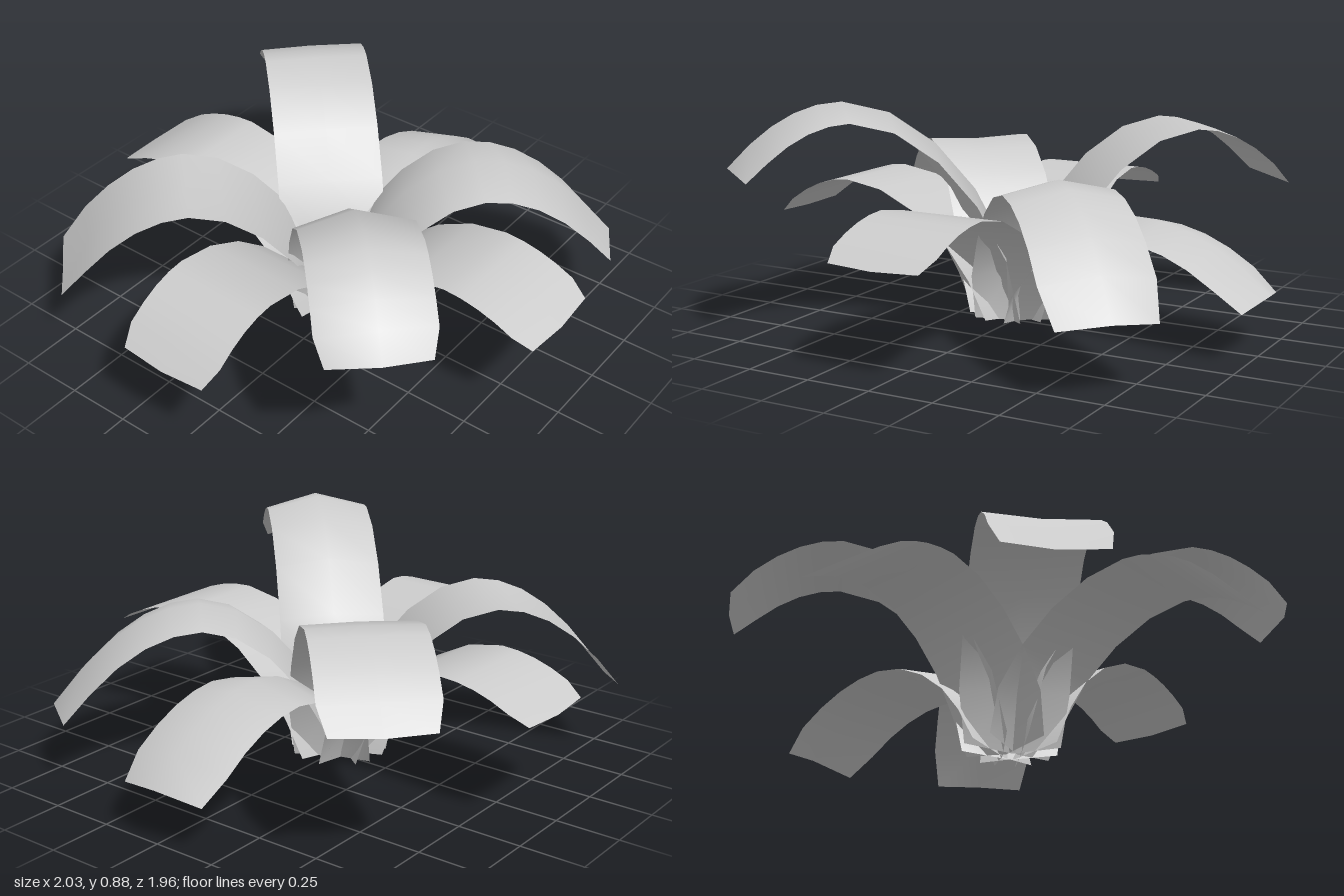
import * as THREE from 'three';

// Eight leaves in steps of 45 degrees from +x: crest and tip as [radius, height], and height of the middle ridge
const LEAVES = [
  { name: 'leftLeaf', crest: [0.5, 0.41], tip: [0.99, 0.19], ridge: 0.05 },
  { name: 'frontLeftLeaf', crest: [0.53, 0.6], tip: [1.05, 0.25], ridge: 0.045 },
  { name: 'frontLeaf', crest: [0.63, 0.525], tip: [0.99, 0.41], ridge: 0 },
  { name: 'frontRightLeaf', crest: [0.68, 0.825], tip: [1.05, 0.62], ridge: 0.055 },
  { name: 'rightLeaf', crest: [0.65, 0.53], tip: [0.99, 0.37], ridge: 0 },
  { name: 'backRightLeaf', crest: [0.57, 0.64], tip: [1.06, 0.31], ridge: -0.01 },
  { name: 'backLeaf', crest: [0.6, 0.525], tip: [0.95, 0.41], ridge: 0 },
  { name: 'backLeftLeaf', crest: [0.66, 0.75], tip: [1.06, 0.52], ridge: 0.005 },
];

const SEGMENTS = 5;
const material = new THREE.MeshStandardMaterial({ color: 0xcccccc, side: THREE.DoubleSide });

// Side profile: a steep rise from the base to the crest, then a parabolic droop to the tip
function leafProfile([crestR, crestY], [tipR, tipY]) {
  const crest = new THREE.Vector2(crestR, crestY);
  const rise = new THREE.CubicBezierCurve(
    new THREE.Vector2(0.04, 0.03),
    new THREE.Vector2(0.09, crestY * 0.56),
    new THREE.Vector2(crestR * 0.62, crestY),
    crest,
  );
  const droop = new THREE.QuadraticBezierCurve(
    crest,
    new THREE.Vector2((crestR + tipR) / 2, crestY),
    new THREE.Vector2(tipR, tipY),
  );
  return [...rise.getPoints(SEGMENTS), ...droop.getPoints(SEGMENTS).slice(1)];
}

// A bent strip, three vertices across, with a raised middle ridge and bowed ends
function leafGeometry(path, ridge) {
  const positions = [], indices = [], last = path.length - 1;
  path.forEach((p, i) => {
    const along = path[Math.min(i + 1, last)].clone().sub(path[Math.max(i - 1, 0)]).normalize();
    const half = i === 0 || i === last ? 0.18 : 0.207;
    const bow = i === 0 ? -0.03 : i === last ? 0.012 : 0;
    const lift = i === 0 ? 0 : ridge;
    positions.push(
      p.x, p.y, -half,
      p.x - along.y * lift + along.x * bow, p.y + along.x * lift + along.y * bow, 0,
      p.x, p.y, half,
    );
    if (i === last) return;
    for (let j = 0; j < 2; j++) {
      const k = i * 3 + j;
      indices.push(k, k + 1, k + 3, k + 1, k + 4, k + 3);
    }
  });
  const geometry = new THREE.BufferGeometry();
  geometry.setAttribute('position', new THREE.Float32BufferAttribute(positions, 3));
  geometry.setIndex(indices);
  geometry.computeVertexNormals();
  return geometry;
}

export function createModel() {
  const plant = new THREE.Group();
  plant.name = 'plant';
  LEAVES.forEach(({ name, crest, tip, ridge }, i) => {
    const leaf = new THREE.Mesh(leafGeometry(leafProfile(crest, tip), ridge), material);
    leaf.name = name;
    leaf.rotation.y = -i * Math.PI / 4;
    leaf.position.z = -0.025;
    plant.add(leaf);
  });
  return plant;
}
